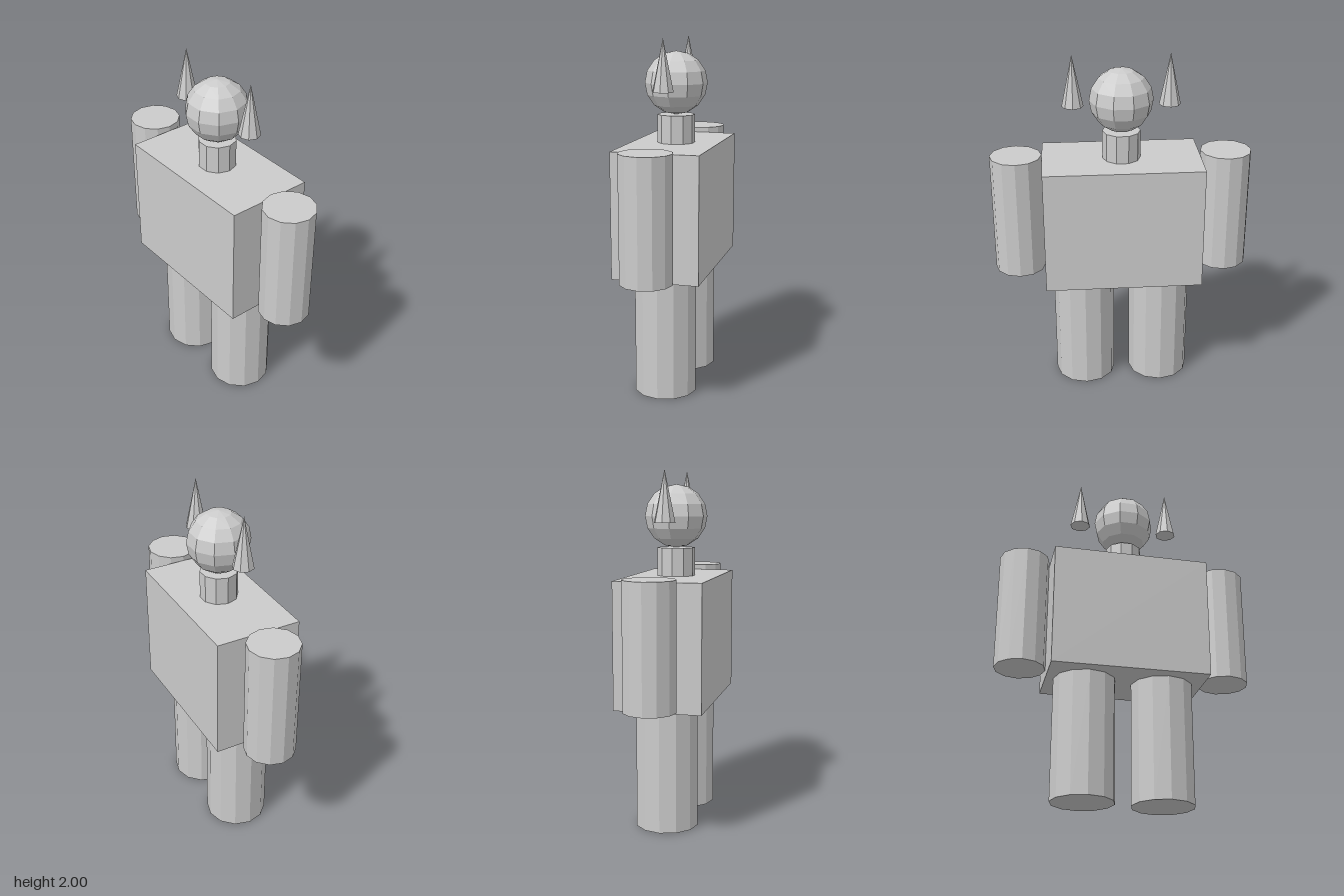
import * as THREE from 'three';

export function createModel() {
  const model = new THREE.Group();
  model.name = 'figure';
  const material = new THREE.MeshStandardMaterial({ color: 0xcccccc, flatShading: true });

  const add = (name, geometry, x, y) => {
    const mesh = new THREE.Mesh(geometry, material);
    mesh.name = name;
    mesh.position.set(x, y, 0);
    model.add(mesh);
  };

  // Upright faceted column between two heights, with a corner on the x axis
  const column = (name, x, bottom, top, rTop, rBottom, sides) =>
    add(name, new THREE.CylinderGeometry(rTop, rBottom, top - bottom, sides, 1, false, Math.PI / 2),
      x, (bottom + top) / 2);

  // Body, neck and head
  add('torso', new THREE.BoxGeometry(0.892, 0.71, 0.493), 0, 1.052);
  column('neck', 0, 1.407, 1.567, 0.107, 0.107, 10);
  add('head', new THREE.SphereGeometry(0.178, 10, 8), 0, 1.744);

  // Paired limbs and floating horns
  for (const [side, s] of [['left', 1], ['right', -1]]) {
    column(side + 'Leg', s * 0.223, 0, 0.697, 0.178, 0.178, 12);
    column(side + 'Arm', s * 0.592, 0.74, 1.434, 0.145, 0.145, 12);
    column(side + 'Horn', s * 0.267, 1.713, 2, 0, 0.06, 8);
  }
  return model;
}
